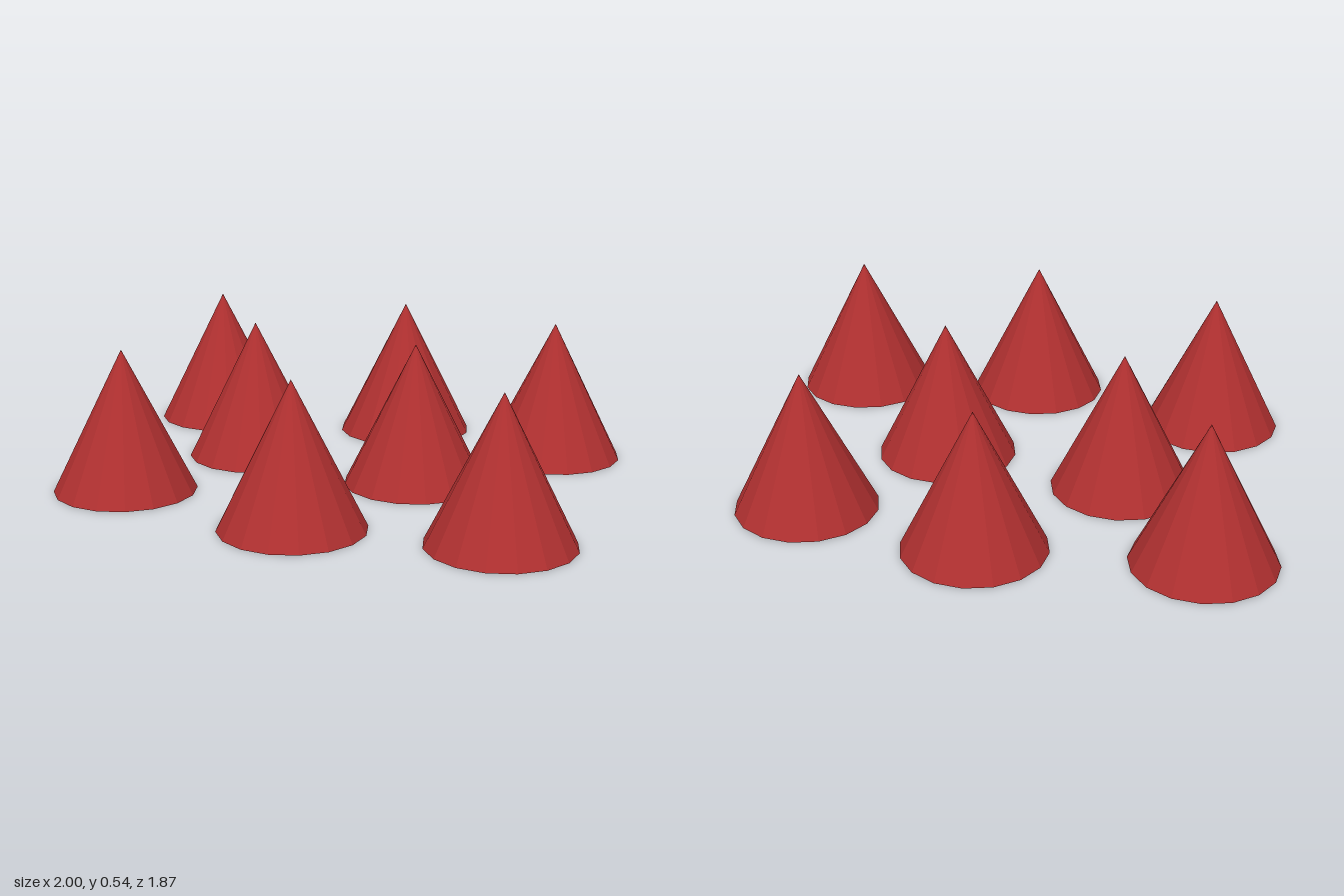
import * as THREE from 'three';

const RADIUS = 0.267;
const HEIGHT = 0.535;

// Centre of each cone on the ground: [x, z]
const POSITIONS = [
  [-0.733, -0.665], [0.071, -0.671], [0.728, -0.453],
  [-0.41, -0.153], [0.284, 0.042],
  [-0.733, 0.418], [-0.002, 0.667], [0.726, 0.636],
];

export function createModel() {
  const model = new THREE.Group();
  model.name = 'coneField';

  // One faceted, closed cone standing on the ground, shared by all copies
  const geometry = new THREE.ConeGeometry(RADIUS, HEIGHT, 16);
  geometry.translate(0, HEIGHT / 2, 0);
  const material = new THREE.MeshStandardMaterial({ color: 0xb03030, flatShading: true });

  POSITIONS.forEach(([x, z], i) => {
    const cone = new THREE.Mesh(geometry, material);
    cone.name = `cone${i + 1}`;
    cone.position.set(x, 0, z);
    model.add(cone);
  });

  return model;
}
